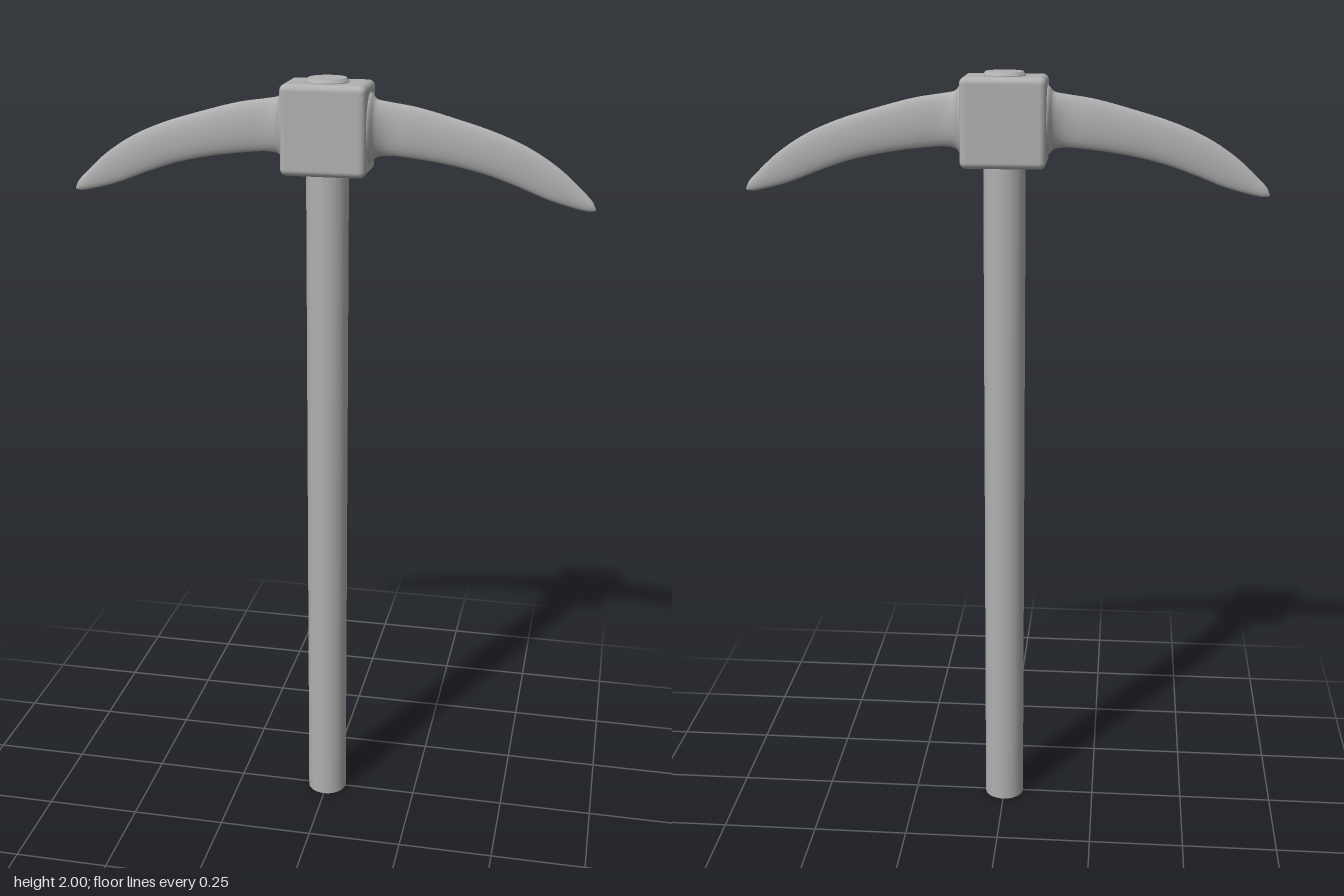
import * as THREE from 'three';
import { RoundedBoxGeometry } from 'three/addons/geometries/RoundedBoxGeometry.js';

const grey = new THREE.MeshStandardMaterial({ color: 0xb0b0b0 });
grey.name = 'grey';

function part(name, geometry, y = 0) {
  const mesh = new THREE.Mesh(geometry, grey);
  mesh.name = name;
  mesh.position.y = y;
  return mesh;
}

// Curved pick arm: elliptical sections lofted between an upper and a lower edge
function armGeometry() {
  // top x, top y, bottom x, bottom y, half thickness
  const stations = [
    [0.09, 1.975, 0.09, 1.79, 0.064],
    [0.108, 1.968, 0.108, 1.798, 0.058],
    [0.122, 1.953, 0.122, 1.812, 0.036],
    [0.15, 1.947, 0.15, 1.817, 0.021],
    [0.22, 1.936, 0.215, 1.812, 0.018],
    [0.32, 1.91, 0.3, 1.8, 0.017],
    [0.42, 1.879, 0.39, 1.78, 0.015],
    [0.5, 1.844, 0.47, 1.753, 0.013],
    [0.57, 1.799, 0.54, 1.726, 0.011],
    [0.62, 1.755, 0.6, 1.709, 0.009],
    [0.65, 1.724, 0.64, 1.701, 0.007],
    [0.658, 1.706, 0.655, 1.702, 0.002],
  ];
  const upper = new THREE.CatmullRomCurve3(stations.map(s => new THREE.Vector3(s[0], s[1], s[4])));
  const lower = new THREE.CatmullRomCurve3(stations.map(s => new THREE.Vector3(s[2], s[3], s[4])));
  const rows = 55, sides = 24, positions = [], index = [];
  for (let i = 0; i <= rows; i++) {
    const a = upper.getPoint(i / rows), b = lower.getPoint(i / rows);
    for (let j = 0; j < sides; j++) {
      const angle = (j / sides) * Math.PI * 2;
      const k = (1 - Math.cos(angle)) / 2;
      positions.push(a.x + (b.x - a.x) * k, a.y + (b.y - a.y) * k, a.z * Math.sin(angle));
      if (i === rows) continue;
      const p = i * sides + j, q = i * sides + (j + 1) % sides;
      index.push(p, q, p + sides, q, q + sides, p + sides);
    }
  }
  // Close the tip
  const last = rows * sides;
  for (let j = 1; j < sides - 1; j++) index.push(last, last + j, last + j + 1);
  const geometry = new THREE.BufferGeometry();
  geometry.setAttribute('position', new THREE.Float32BufferAttribute(positions, 3));
  geometry.setIndex(index);
  geometry.computeVertexNormals();
  return geometry;
}

export function createModel() {
  const model = new THREE.Group();
  model.name = 'pickaxe';

  // Round shaft with a small chamfered end above the head
  model.add(part('handle', new THREE.CylinderGeometry(0.053, 0.053, 1.992, 40), 0.996));
  model.add(part('handleEnd', new THREE.CylinderGeometry(0.047, 0.053, 0.008, 40), 1.996));

  // Socket block
  model.add(part('headBlock', new RoundedBoxGeometry(0.212, 0.22, 0.146, 4, 0.016), 1.88));

  // Two matching arms
  const arm = armGeometry();
  const leftArm = part('leftArm', arm);
  const rightArm = part('rightArm', arm);
  rightArm.rotation.y = Math.PI;
  model.add(leftArm, rightArm);

  return model;
}
